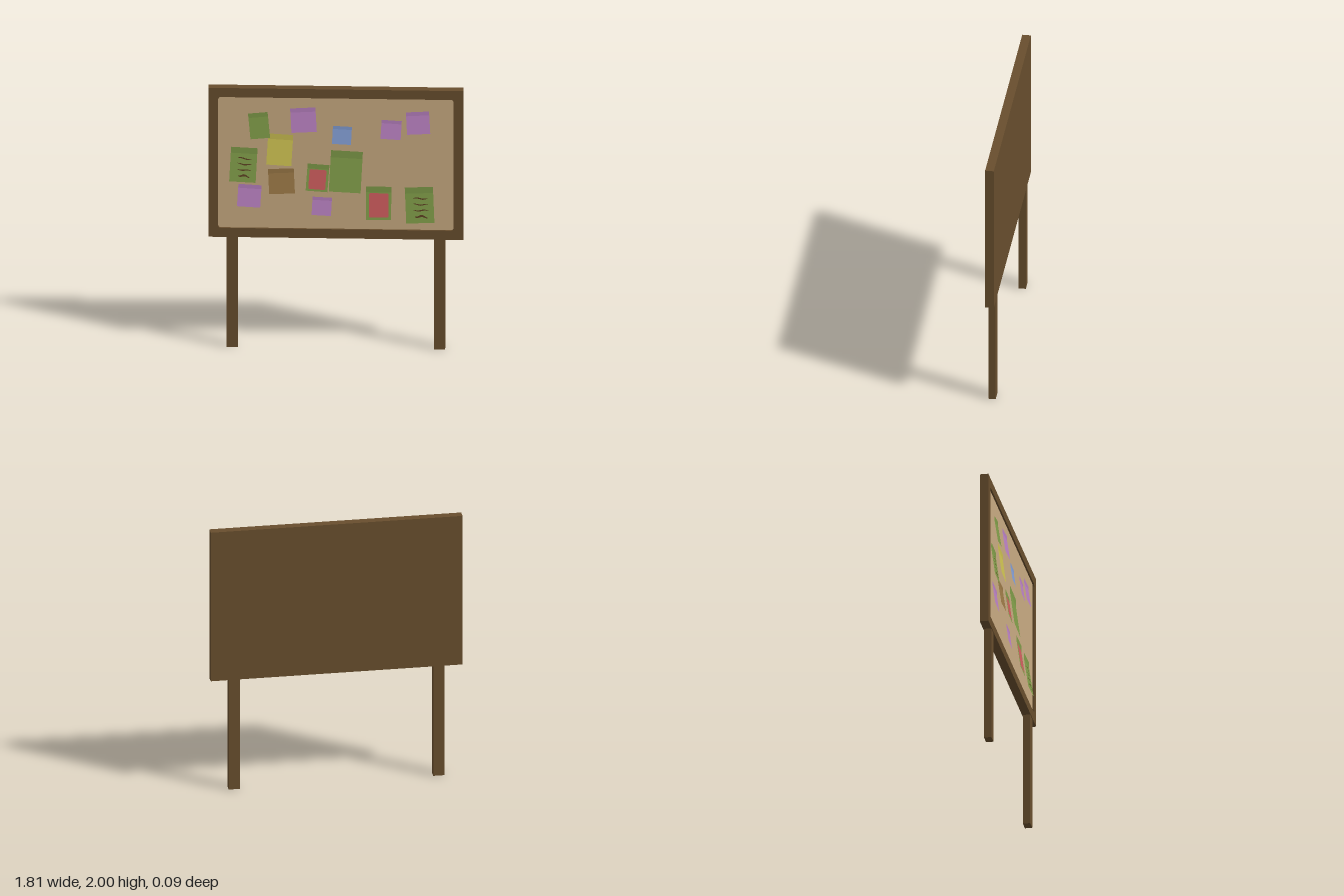
import * as THREE from 'three';

const mat = (name, color, side = THREE.FrontSide) => {
  const m = new THREE.MeshStandardMaterial({ color, side });
  m.name = name;
  return m;
};

const BOARD = { w: 1.81, bottom: 0.85, top: 2, back: -0.044, front: 0.018, cork: 0.006 };
const SLOPE = 0.14;   // how far the loose part of each note leans out
const STRIP = 0.18;   // share of a note that lies flat, at its top

// x, y, width, height, turn, colour, detail
const NOTES = [
  [-0.545, 1.713, 0.14, 0.19, 0.10, 'green'],
  [-0.23, 1.76, 0.18, 0.18, 0.06, 'purple'],
  [0.043, 1.645, 0.135, 0.133, -0.05, 'blue'],
  [0.392, 1.692, 0.143, 0.14, -0.06, 'purple'],
  [0.583, 1.748, 0.165, 0.165, 0.06, 'purple'],
  [-0.398, 1.53, 0.178, 0.23, -0.06, 'yellow'],
  [-0.656, 1.411, 0.188, 0.255, -0.05, 'green', 'lines'],
  [0.071, 1.369, 0.226, 0.305, -0.05, 'green'],
  [-0.386, 1.286, 0.183, 0.185, 0.05, 'tan'],
  [-0.13, 1.316, 0.155, 0.2, -0.07, 'green', 'panel'],
  [-0.614, 1.17, 0.165, 0.165, -0.06, 'purple'],
  [-0.1, 1.095, 0.138, 0.135, -0.05, 'purple'],
  [0.304, 1.127, 0.178, 0.245, 0, 'green', 'panel'],
  [0.594, 1.117, 0.2, 0.265, 0.045, 'green', 'lines'],
];

function roundedRect(target, x0, y0, x1, y1, r) {
  target.moveTo(x0 + r, y0);
  target.lineTo(x1 - r, y0).quadraticCurveTo(x1, y0, x1, y0 + r);
  target.lineTo(x1, y1 - r).quadraticCurveTo(x1, y1, x1 - r, y1);
  target.lineTo(x0 + r, y1).quadraticCurveTo(x0, y1, x0, y1 - r);
  target.lineTo(x0, y0 + r).quadraticCurveTo(x0, y0, x0 + r, y0);
  return target;
}

// Thin wavy pen stroke, tapering to both ends
function strokeShape(length, thick, phase) {
  const upper = [], lower = [], n = 8;
  for (let i = 0; i <= n; i++) {
    const t = i / n;
    const y = Math.sin(t * 7 + phase) * thick * 0.5 - t * thick * 0.8;
    const half = thick * (0.2 + 0.4 * Math.sin(Math.PI * t));
    upper.push(new THREE.Vector2((t - 0.5) * length, y + half));
    lower.unshift(new THREE.Vector2((t - 0.5) * length, y - half));
  }
  return new THREE.Shape([...lower.reverse(), ...upper.reverse()]);
}

export function createModel() {
  const root = new THREE.Group();
  root.name = 'noticeBoard';
  const wood = mat('dark wood', 0x684e2d);
  const cork = mat('cork', 0xc9ab82);
  const red = mat('red', 0xcb5b5c, THREE.DoubleSide);
  const ink = mat('ink brown', 0x5a3f20, THREE.DoubleSide);
  const paper = {};
  for (const [name, hex] of [['green', 0x7f9b48], ['purple', 0xb880c0], ['blue', 0x829cd2],
    ['yellow', 0xcabf50], ['tan', 0x9a7846]]) paper[name] = mat(name + ' paper', hex, THREE.DoubleSide);

  const add = (parent, name, geo, material, x = 0, y = 0, z = 0) => {
    const mesh = new THREE.Mesh(geo, material);
    mesh.name = name;
    mesh.position.set(x, y, z);
    parent.add(mesh);
    return mesh;
  };

  // Frame with a softly rounded opening
  const half = BOARD.w / 2;
  const outline = roundedRect(new THREE.Shape(), -half, BOARD.bottom, half, BOARD.top, 0);
  outline.holes.push(roundedRect(new THREE.Path(), -0.835, 0.92, 0.835, 1.93, 0.02));
  const depth = BOARD.front - BOARD.back;
  add(root, 'frame', new THREE.ExtrudeGeometry(outline, { depth, bevelEnabled: false, curveSegments: 4 }),
    wood, 0, 0, BOARD.back);

  // Back panel and cork sheet fill the opening
  add(root, 'backPanel', new THREE.BoxGeometry(1.7, 1.04, 0.03), wood, 0, 1.425, BOARD.back + 0.015);
  add(root, 'corkSheet', new THREE.BoxGeometry(1.7, 1.04, 0.02), cork, 0, 1.425, BOARD.cork - 0.01);

  // Legs
  for (const s of [-1, 1])
    add(root, s > 0 ? 'leftLeg' : 'rightLeg', new THREE.BoxGeometry(0.08, 0.85, 0.053), wood, s * 0.735, 0.425, -0.012);

  // Notes: a flat strip stuck to the cork and a lower sheet leaning outwards
  NOTES.forEach(([x, y, w, h, turn, colour, detail], i) => {
    const note = new THREE.Group();
    note.name = `${colour}Note${i + 1}`;
    note.position.set(x, y, BOARD.cork + 0.002);
    note.rotation.z = turn;
    root.add(note);

    const stripH = h * STRIP, bodyH = h - stripH;
    add(note, 'fixedStrip', new THREE.PlaneGeometry(w, stripH), paper[colour], 0, h / 2 - stripH / 2, 0);

    const flap = new THREE.Group();
    flap.name = 'looseSheet';
    flap.position.y = h / 2 - stripH;
    flap.rotation.x = -Math.atan(SLOPE);
    note.add(flap);
    const len = bodyH * Math.hypot(1, SLOPE);
    add(flap, 'sheet', new THREE.PlaneGeometry(w, len), paper[colour], 0, -len / 2, 0);

    if (detail === 'panel') {
      const shape = roundedRect(new THREE.Shape(), -w * 0.39, -len * 0.91, w * 0.39, -len * 0.03, 0.012);
      add(flap, 'redPanel', new THREE.ShapeGeometry(shape, 3), red, 0, 0, 0.0015);
    }
    if (detail === 'lines') {
      for (let k = 0; k < 4; k++) {
        const stroke = strokeShape(w * (k === 3 ? 0.45 : 0.52), k === 3 ? 0.013 : 0.008, k * 1.3);
        add(flap, 'penStroke', new THREE.ShapeGeometry(stroke), ink, w * 0.04, -len * (0.16 + 0.2 * k), 0.0015);
      }
    }
  });

  return root;
}
